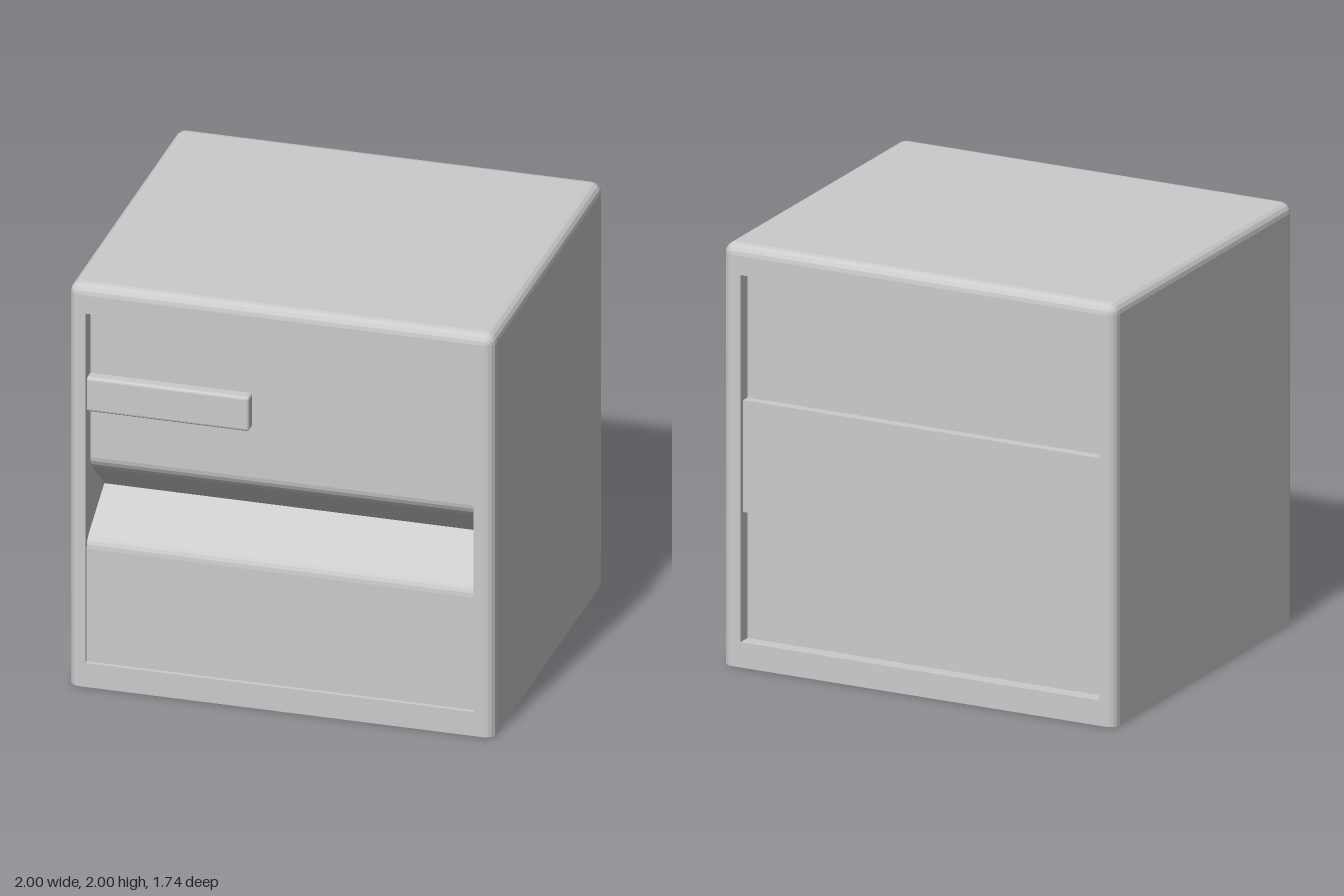
import * as THREE from 'three';
import { RoundedBoxGeometry } from 'three/addons/geometries/RoundedBoxGeometry.js';

const HALF_DEPTH = 0.87, RADIUS = 0.05, STEPS = 4;
const OPEN = { left: -0.92, right: 0.905, bottom: 0.12, top: 1.86 };
const OPEN_WIDTH = OPEN.right - OPEN.left;
const OPEN_CENTRE = (OPEN.right + OPEN.left) / 2;

const material = new THREE.MeshStandardMaterial({ color: 0xcccccc, flatShading: true });

function addPart(group, name, geometry, x = 0, y = 0, z = 0) {
  const mesh = new THREE.Mesh(geometry, material);
  mesh.name = name;
  mesh.position.set(x, y, z);
  group.add(mesh);
}

// Outline of the case at depth z, drawn in by inset; the bottom corners stay square
function caseLoop(inset, z) {
  const side = 1 - inset, r = RADIUS - inset;
  const points = [[-side, 0, z], [side, 0, z]];
  for (const [sign, start] of [[1, 0], [-1, Math.PI / 2]]) {
    for (let i = 0; i <= STEPS; i++) {
      const a = start + (i / STEPS) * Math.PI / 2;
      points.push([sign * (1 - RADIUS) + r * Math.cos(a), 2 - RADIUS + r * Math.sin(a), z]);
    }
  }
  return points;
}

// Rectangular opening with as many points as the outline
function openingLoop(z) {
  const corner = x => Array.from({ length: STEPS + 1 }, () => [x, OPEN.top, z]);
  return [[OPEN.left, OPEN.bottom, z], [OPEN.right, OPEN.bottom, z], ...corner(OPEN.right), ...corner(OPEN.left)];
}

// Case: one skin from the front opening, around the rounded outside, and back through the opening
function caseGeometry() {
  const loops = [openingLoop(HALF_DEPTH)];
  for (const sign of [1, -1]) {
    for (let i = 0; i <= STEPS; i++) {
      const a = ((sign > 0 ? i : STEPS - i) / STEPS) * Math.PI / 2;
      const z = sign * (HALF_DEPTH - RADIUS + RADIUS * Math.cos(a));
      loops.push(caseLoop(RADIUS * (1 - Math.sin(a)), z));
    }
  }
  loops.push(openingLoop(-HALF_DEPTH));

  const positions = [];
  const same = (p, q) => p.every((v, i) => Math.abs(v - q[i]) < 1e-6);
  const triangle = (a, b, c) => {
    if (!same(a, b) && !same(b, c) && !same(a, c)) positions.push(...a, ...b, ...c);
  };
  loops.forEach((front, k) => {
    const back = loops[(k + 1) % loops.length];
    front.forEach((p, j) => {
      const n = (j + 1) % front.length;
      triangle(p, back[j], front[n]);
      triangle(back[j], back[n], front[n]);
    });
  });
  const geometry = new THREE.BufferGeometry();
  geometry.setAttribute('position', new THREE.Float32BufferAttribute(positions, 3));
  geometry.computeVertexNormals();
  return geometry;
}

// Sweep a side profile (z, y) across the width of the opening
function acrossOpening(profile) {
  const geometry = new THREE.ExtrudeGeometry(profile, { depth: OPEN_WIDTH, bevelEnabled: false, curveSegments: 4 });
  return geometry.rotateY(-Math.PI / 2).translate(OPEN.right, 0, 0);
}

export function createModel() {
  const group = new THREE.Group();
  group.name = 'nightstand';
  addPart(group, 'case', caseGeometry());

  // Lower drawer with a sloping, rounded top edge
  const lower = new THREE.Shape();
  lower.moveTo(0, OPEN.bottom);
  lower.lineTo(0.85, OPEN.bottom);
  lower.lineTo(0.85, 0.68);
  lower.quadraticCurveTo(0.85, 0.722, 0.81, 0.745);
  lower.lineTo(0.57, 0.88);
  lower.lineTo(0, 0.88);
  addPart(group, 'lowerDrawer', acrossOpening(lower));

  // Upper drawer, set further in, undercut to form the finger groove
  const upper = new THREE.Shape();
  upper.moveTo(0, 0.88);
  upper.lineTo(0.57, 0.88);
  upper.lineTo(0.73, 1.02);
  upper.quadraticCurveTo(0.79, 1.072, 0.79, 1.11);
  upper.lineTo(0.79, OPEN.top);
  upper.lineTo(0, OPEN.top);
  addPart(group, 'upperDrawer', acrossOpening(upper));

  // Handle running out of the right side wall
  addPart(group, 'handle', new RoundedBoxGeometry(0.78, 0.17, 0.12, 2, 0.014), -0.55, 1.445, 0.785);

  // Recessed back with a raised band across the middle
  const backHeight = OPEN.top - OPEN.bottom;
  addPart(group, 'backPanel', new THREE.BoxGeometry(OPEN_WIDTH, backHeight, 0.1),
    OPEN_CENTRE, OPEN.bottom + backHeight / 2, -0.75);
  addPart(group, 'backBand', new THREE.BoxGeometry(OPEN_WIDTH, 0.53, 0.1), OPEN_CENTRE, 0.995, -0.795);

  return group;
}
